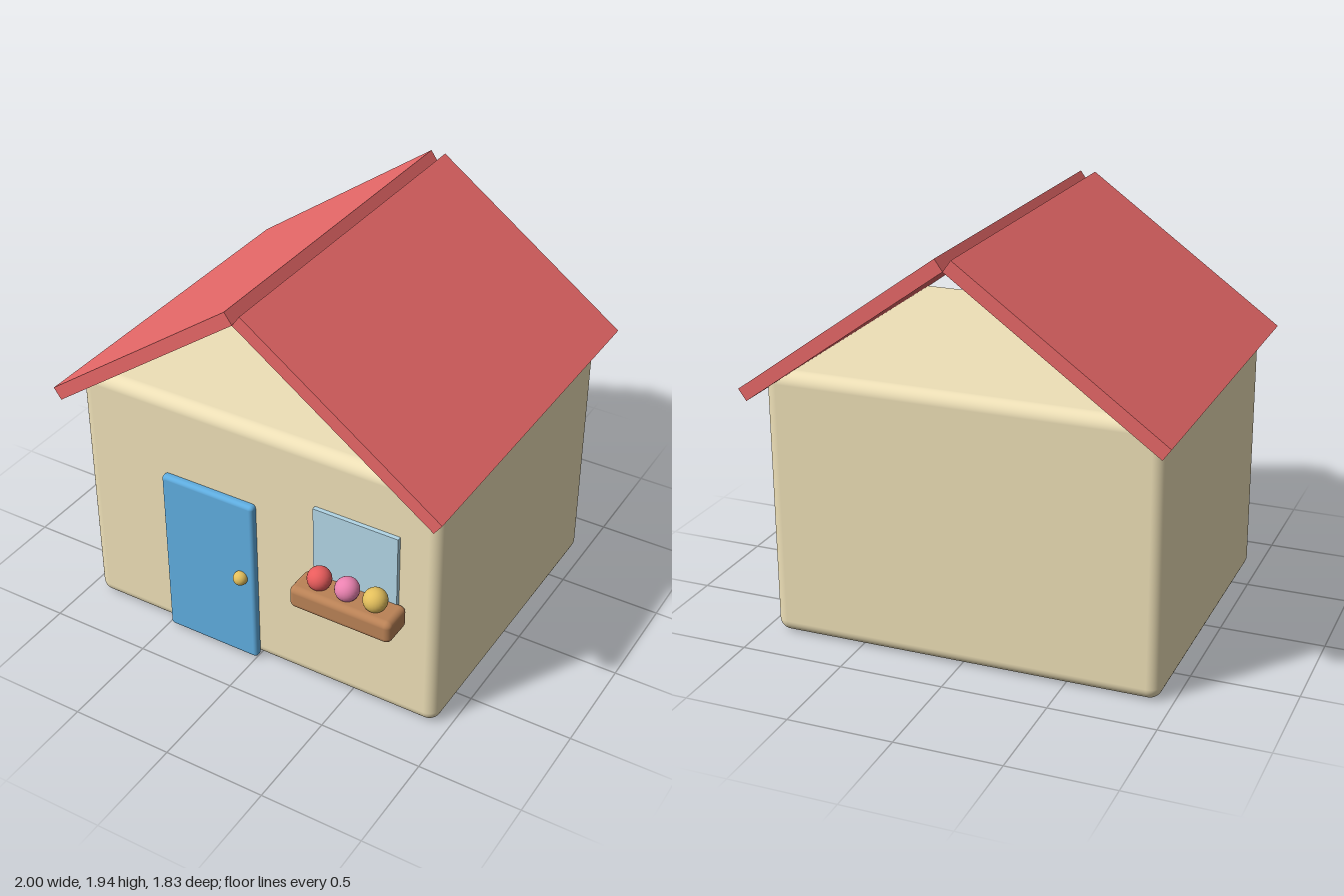
import * as THREE from 'three';
import { RoundedBoxGeometry } from 'three/addons/geometries/RoundedBoxGeometry.js';

const mat = (color) => new THREE.MeshStandardMaterial({ color });

export function createModel() {
  const house = new THREE.Group();
  house.name = 'house';

  const add = (name, geometry, material, x, y, z) => {
    const mesh = new THREE.Mesh(geometry, material);
    mesh.name = name;
    mesh.position.set(x, y, z);
    house.add(mesh);
    return mesh;
  };

  const gold = mat(0xe3bf5c);
  const midZ = -0.023;

  // Walls: one soft-edged block, open beneath the gables
  add('walls', new RoundedBoxGeometry(1.885, 1.3, 1.545, 6, 0.06), mat(0xeee0b7), 0, 0.65, midZ);

  // Two roof slabs whose lower edges meet at the ridge
  const roof = mat(0xe86868);
  const pitch = 0.623;
  for (const side of [-1, 1]) {
    const slab = add(side < 0 ? 'roofRight' : 'roofLeft',
      new THREE.BoxGeometry(1.186, 0.065, 1.78), roof, side * 0.5, 1.563, midZ);
    slab.rotation.z = -side * pitch;
  }

  // Door and knob
  add('door', new RoundedBoxGeometry(0.497, 0.885, 0.047, 4, 0.02), mat(0x5fade0), -0.239, 0.45, 0.762);
  add('doorKnob', new THREE.SphereGeometry(0.035, 24, 16), gold, -0.06, 0.475, 0.795);

  // Window pane
  add('windowPane', new THREE.BoxGeometry(0.425, 0.425, 0.04), mat(0xb2d6e6), 0.533, 0.793, 0.751);

  // Flower box with three round blooms
  add('flowerBox', new RoundedBoxGeometry(0.515, 0.115, 0.163, 5, 0.03), mat(0xba8256), 0.533, 0.593, 0.832);
  const blooms = [mat(0xe85c5c), mat(0xea82b0), gold];
  blooms.forEach((material, i) =>
    add('flower' + (i + 1), new THREE.SphereGeometry(0.057, 24, 16), material, 0.39 + i * 0.142, 0.69, 0.832));

  return house;
}
